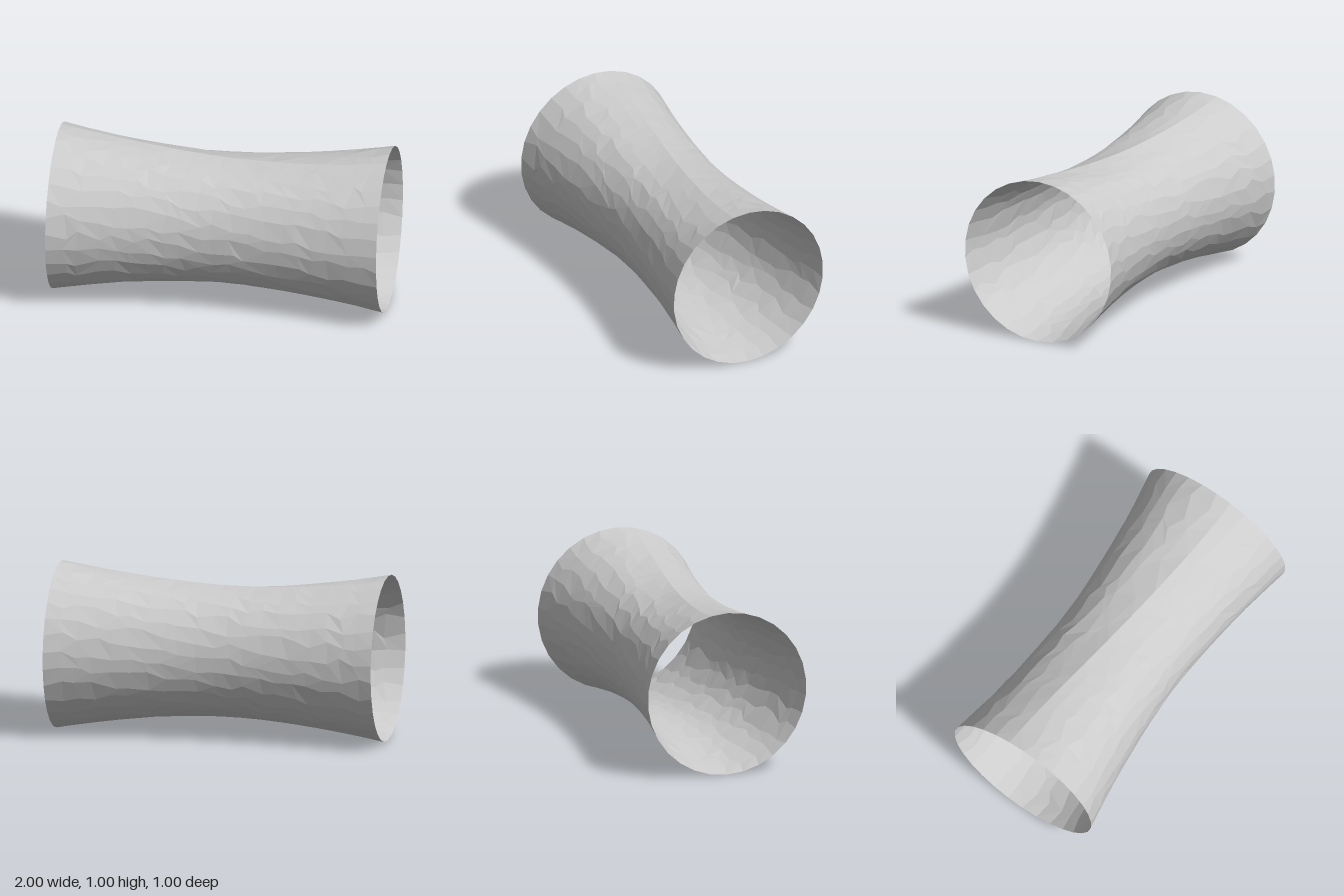
import * as THREE from 'three';

const ROWS = 20, SIDES = 30;

// small seeded generator, returns -1..1
function makeNoise(seed) {
  return () => {
    seed = (seed * 16807) % 2147483647;
    return (seed / 2147483647) * 2 - 1;
  };
}

// waist radius change around the tube, by angle away from the ridge
const WAIST = [[0, 0.013], [0.26, -0.005], [0.63, 0.007], [1.5, 0.004], [2.4, 0.003], [Math.PI, 0]];
function waistOffset(angle) {
  const a = Math.min(Math.abs(angle), Math.PI);
  const i = Math.max(1, WAIST.findIndex(([t]) => t >= a));
  const [[t0, v0], [t1, v1]] = [WAIST[i - 1], WAIST[i]];
  return v0 + (v1 - v0) * (a - t0) / (t1 - t0);
}

// stretched film: wide round ends, narrow waist, a slanting ridge along the top
function filmPoint(x, angle) {
  const radius = 0.39 + 0.11 * Math.abs(x) ** 1.75 + waistOffset(angle) * (1 - x * x);
  const around = angle + 0.2 * Math.sin(x * Math.PI / 2);
  return [x, 0.5 + radius * Math.cos(around), radius * Math.sin(around)];
}

function filmGeometry() {
  const noise = makeNoise(4711);
  const positions = [], index = [];
  for (let i = 0; i <= ROWS; i++) {
    for (let j = 0; j < SIDES; j++) {
      // irregular mesh, but the end rings and the ridge stay clean
      const loose = i > 0 && i < ROWS && j > 0 ? 0.3 : 0;
      const x = -1 + 2 * (i + noise() * loose) / ROWS;
      let angle = (j + noise() * loose) / SIDES * Math.PI * 2;
      if (angle > Math.PI) angle -= Math.PI * 2;
      positions.push(...filmPoint(x, angle));
    }
  }
  for (let i = 0; i < ROWS; i++) {
    for (let j = 0; j < SIDES; j++) {
      const k = (j + 1) % SIDES;
      const a = i * SIDES + j, b = i * SIDES + k;
      const c = a + SIDES, d = b + SIDES;
      if (noise() > 0) index.push(a, b, d, a, d, c);
      else index.push(a, b, c, b, d, c);
    }
  }
  const geometry = new THREE.BufferGeometry();
  geometry.setAttribute('position', new THREE.Float32BufferAttribute(positions, 3));
  geometry.setIndex(index);
  geometry.computeVertexNormals();
  return geometry;
}

export function createModel() {
  const group = new THREE.Group();
  const material = new THREE.MeshStandardMaterial({
    color: 0xcccccc, flatShading: true, side: THREE.DoubleSide,
  });
  const film = new THREE.Mesh(filmGeometry(), material);
  film.name = 'waistedTube';
  group.add(film);
  return group;
}
